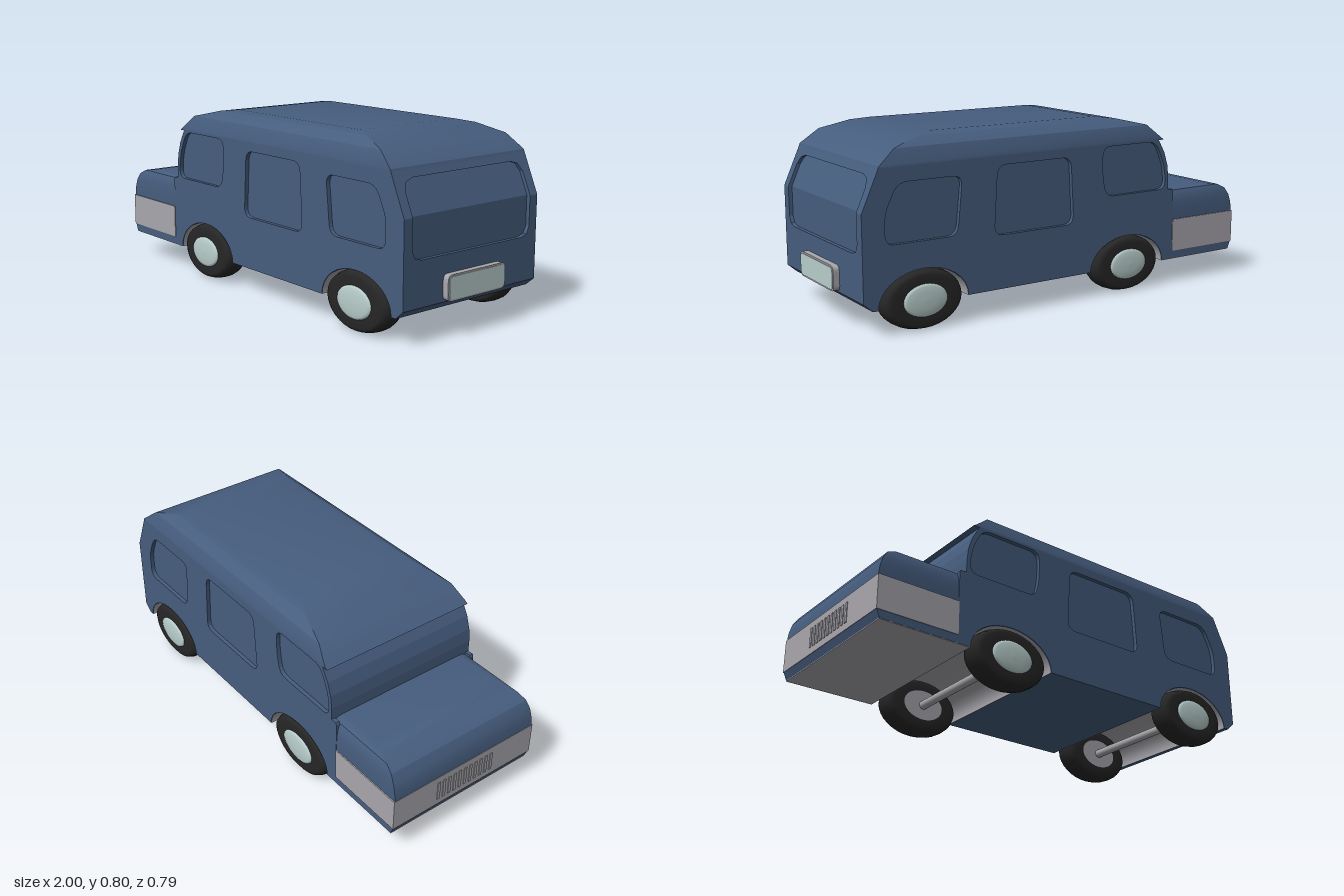
import * as THREE from 'three';
import { toCreasedNormals } from 'three/addons/utils/BufferGeometryUtils.js';

const paint = (name, color, side = THREE.FrontSide) => {
  const m = new THREE.MeshStandardMaterial({ color, side });
  m.name = name;
  return m;
};

export function createModel() {
  const blue = paint('body blue', 0x465d7e);
  const grey = paint('trim grey', 0xa9a7ad, THREE.DoubleSide);
  const black = paint('tyre black', 0x262626, THREE.DoubleSide);
  const pale = paint('pale hub', 0xb9cfcc);

  const van = new THREE.Group();
  van.name = 'van';
  const add = (name, geometry, material, x = 0, y = 0, z = 0, parent = van) => {
    const mesh = new THREE.Mesh(geometry, material);
    mesh.name = name;
    mesh.position.set(x, y, z);
    parent.add(mesh);
    return mesh;
  };
  const polygon = (pts) => new THREE.Shape(pts.map(([x, y]) => new THREE.Vector2(x, y)));
  const extrude = (shape, depth) =>
    new THREE.ExtrudeGeometry(shape, { depth, bevelEnabled: false, curveSegments: 5 });

  // Polygon with every corner rounded by radius r
  const rounded = (pts, r, Type = THREE.Shape) => {
    const path = new Type();
    pts.forEach((p, i) => {
      const c = new THREE.Vector2(...p);
      const toward = (q) => new THREE.Vector2(...q).sub(c).setLength(r).add(c);
      const a = toward(pts[(i + pts.length - 1) % pts.length]);
      const b = toward(pts[(i + 1) % pts.length]);
      if (i) path.lineTo(a.x, a.y);
      else path.moveTo(a.x, a.y);
      path.quadraticCurveTo(c.x, c.y, b.x, b.y);
    });
    path.closePath();
    return path;
  };
  const box = (w, h) => [[-w, -h], [w, -h], [w, h], [-w, h]];

  // Stacked rectangles, each layer [y, xFront, xRear, halfWidth], from bottom to top
  const stack = (layers) => {
    const pos = [], index = [];
    layers.forEach(([y, x0, x1, w]) => pos.push(x0, y, w, x1, y, w, x1, y, -w, x0, y, -w));
    for (let l = 0; l < layers.length - 1; l++) {
      for (let i = 0; i < 4; i++) {
        const a = l * 4 + i, b = l * 4 + (i + 1) % 4;
        index.push(a, b, b + 4, a, b + 4, a + 4);
      }
    }
    const t = (layers.length - 1) * 4;
    index.push(0, 2, 1, 0, 3, 2, t, t + 1, t + 2, t, t + 2, t + 3);
    const g = new THREE.BufferGeometry();
    g.setAttribute('position', new THREE.Float32BufferAttribute(pos, 3));
    g.setIndex(index);
    return toCreasedNormals(g, 0.5);
  };

  // Side outline with wheel arches cut through the floor line
  const arches = [-0.352, 0.698];
  const underside = [[-0.98, 0.115]];
  for (const cx of arches) {
    for (let i = 0; i <= 16; i++) {
      const t = Math.PI * (1 - i / 16);
      underside.push([cx + 0.208 * Math.cos(t), 0.115 + 0.145 * Math.sin(t)]);
    }
  }
  underside.push([0.93, 0.115], [0.97, 0.15]);
  const cabinFront = [[-0.525, 0.68], [-0.56, 0.62], [-0.58, 0.56], [-0.587, 0.5], [-0.587, 0.445]];
  const nose = [[-0.995, 0.3], [-0.995, 0.15]];

  // Body core, which also forms the window panes
  const core = polygon([...underside, [0.953, 0.15], [0.953, 0.51], [0.877, 0.68],
    ...cabinFront, [-0.587, 0.3], ...nose]);
  add('bodyCore', extrude(core, 0.724), blue, 0, 0, -0.362);

  // Side panels with window openings
  const panel = polygon([...underside, [0.97, 0.51], [0.894, 0.68],
    ...cabinFront, [-0.615, 0.445], [-0.62, 0.435], [-0.62, 0.3], ...nose]);
  const windows = [
    [[-0.572, 0.45], [-0.225, 0.45], [-0.205, 0.55], [-0.205, 0.674], [-0.508, 0.674], [-0.562, 0.56]],
    [[-0.048, 0.348], [0.362, 0.348], [0.345, 0.645], [-0.03, 0.645]],
    [[0.54, 0.373], [0.87, 0.373], [0.87, 0.5], [0.81, 0.62], [0.515, 0.62]],
  ];
  panel.holes = windows.map((w) => rounded(w, 0.045, THREE.Path));
  const panelGeometry = extrude(panel, 0.018);
  add('leftSidePanel', panelGeometry, blue, 0, 0, 0.362);
  add('rightSidePanel', panelGeometry, blue, 0, 0, -0.38);

  // Rear skin around the back window, leaning forward above the waist
  const rearX = (y) => (y <= 0.51 ? 0.97 : 0.97 - (y - 0.51) * 0.447);
  const rearSkin = (name, half) => {
    const mirrored = half.map(([z, y]) => [-z, y]).reverse();
    const g = extrude(polygon([...half, ...mirrored]), 0.017).rotateY(Math.PI / 2);
    const p = g.attributes.position;
    for (let i = 0; i < p.count; i++) p.setX(i, p.getX(i) - 0.017 + rearX(p.getY(i)));
    g.computeVertexNormals();
    add(name, g, blue);
  };
  rearSkin('rearSkinLower',
    [[0.362, 0.15], [0.362, 0.51], [0.335, 0.51], [0.335, 0.38], [0.32, 0.35], [0.285, 0.34]]);
  rearSkin('rearSkinUpper',
    [[0.362, 0.68], [0.362, 0.51], [0.335, 0.51], [0.335, 0.605], [0.318, 0.638], [0.28, 0.65]]);

  // Roof with a small visor at the front
  add('roof', stack([
    [0.68, -0.555, 0.894, 0.38], [0.69, -0.54, 0.89, 0.38], [0.752, -0.47, 0.81, 0.356],
    [0.787, -0.32, 0.68, 0.31], [0.797, -0.24, 0.6, 0.27],
  ]), blue);

  // Rounded hood
  add('hood', stack([
    [0.3, -0.995, -0.58, 0.378], [0.34, -0.99, -0.58, 0.378], [0.38, -0.978, -0.58, 0.376],
    [0.415, -0.955, -0.58, 0.37], [0.435, -0.915, -0.58, 0.36], [0.443, -0.86, -0.58, 0.345],
    [0.446, -0.8, -0.58, 0.32],
  ]), blue);

  // Grey band around the nose, grille ribs and floor plate
  add('noseBand', new THREE.BoxGeometry(0.377, 0.15, 0.766), grey, -0.8085, 0.225, 0);
  for (let i = 0; i < 11; i++) {
    add('grilleRib', new THREE.BoxGeometry(0.006, 0.09, 0.014), grey, -0.997, 0.225, (i - 5) * 0.029);
  }
  add('noseFloor', new THREE.BoxGeometry(0.42, 0.004, 0.758), grey, -0.771, 0.114, 0);

  // Rear plate in its frame
  add('plateFrame', extrude(rounded(box(0.165, 0.054), 0.025), 0.028).rotateY(Math.PI / 2),
    grey, 0.969, 0.209, 0);
  add('plate', extrude(rounded(box(0.158, 0.047), 0.02), 0.004).rotateY(Math.PI / 2),
    pale, 0.996, 0.209, 0);

  // Arch liners, axles and oval wheels
  const lathe = (pts) => new THREE.LatheGeometry(pts.map(([r, z]) => new THREE.Vector2(r, z)), 32)
    .rotateX(Math.PI / 2).scale(0.185, 0.127, 1);
  const tyre = lathe([[0.5, 0.277], [0.82, 0.275], [0.93, 0.285], [0.99, 0.31], [1, 0.33],
    [0.99, 0.355], [0.93, 0.378], [0.82, 0.387], [0.5, 0.384]]);
  const hub = lathe([[0.55, 0.378], [0.54, 0.388], [0.46, 0.393], [0.25, 0.396], [0, 0.397]]);
  const innerDisc = new THREE.CircleGeometry(1, 32).rotateY(Math.PI).scale(0.1, 0.069, 1);
  const liner = new THREE.CylinderGeometry(1, 1, 0.754, 16, 1, true, Math.PI / 2, Math.PI)
    .rotateX(Math.PI / 2).scale(0.206, 0.143, 1);
  const axle = new THREE.CylinderGeometry(0.02, 0.02, 0.56, 16).rotateX(Math.PI / 2);
  for (const cx of arches) {
    add('archLiner', liner, grey, cx, 0.115, 0);
    add('axle', axle, grey, cx - 0.002, 0.127, 0);
    for (const turn of [0, Math.PI]) {
      const wheel = new THREE.Group();
      wheel.name = 'wheel';
      wheel.position.set(cx - 0.002, 0.127, 0);
      wheel.rotation.y = turn;
      add('tyre', tyre, black, 0, 0, 0, wheel);
      add('hubcap', hub, pale, 0, 0, 0, wheel);
      add('innerDisc', innerDisc, grey, 0, 0, 0.276, wheel);
      van.add(wheel);
    }
  }
  return van;
}
